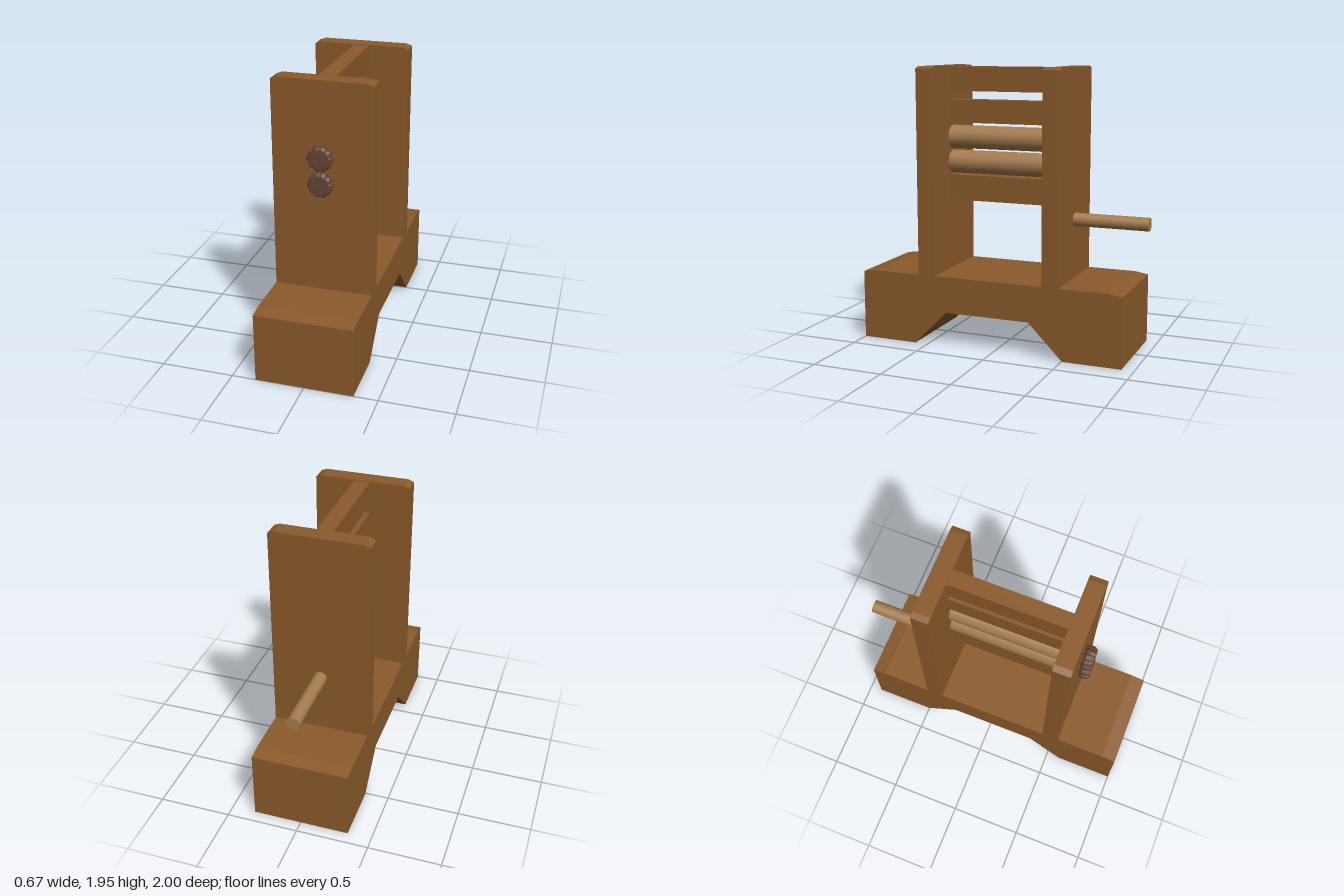
import * as THREE from 'three';
import { toCreasedNormals } from 'three/addons/utils/BufferGeometryUtils.js';

const frameWood = new THREE.MeshStandardMaterial({ color: 0x8b5a2b });
frameWood.name = 'frame wood';
const paleWood = new THREE.MeshStandardMaterial({ color: 0xa67c50 });
paleWood.name = 'pale roller wood';
const darkWood = new THREE.MeshStandardMaterial({ color: 0x654536 });
darkWood.name = 'dark knob wood';

const HALF = 0.335; // half width of base and posts
const FRONT = 0.44, BACK = -0.355, THICK = 0.12; // inner faces and thickness of posts

function extrude(points, depth) {
  const shape = new THREE.Shape(points.map(([x, y]) => new THREE.Vector2(x, y)));
  return new THREE.ExtrudeGeometry(shape, { depth, bevelEnabled: false });
}

// Cylinder along z between two depths
function rod(radius, z0, z1) {
  return new THREE.CylinderGeometry(radius, radius, z1 - z0, 32)
    .rotateX(Math.PI / 2).translate(0, 0, (z0 + z1) / 2);
}

// Turned knob with ten rounded lobes, its back on z = 0
function knobGeometry() {
  const profile = [[0, 0], [0.07, 0], [0.084, 0.02], [0.084, 0.052], [0.07, 0.073], [0, 0.076]];
  const geo = new THREE.LatheGeometry(profile.map(([r, h]) => new THREE.Vector2(r, h)), 60);
  const p = geo.attributes.position;
  for (let i = 0; i < p.count; i++) {
    const a = Math.atan2(p.getZ(i), p.getX(i));
    const s = 0.9 + 0.1 * Math.sqrt(Math.abs(Math.cos(5 * a)));
    p.setX(i, p.getX(i) * s);
    p.setZ(i, p.getZ(i) * s);
  }
  return toCreasedNormals(geo.rotateX(Math.PI / 2), 0.5);
}

export function createModel() {
  const model = new THREE.Group();
  model.name = 'rollerMill';
  const add = (name, geo, material, y = 0, z = 0) => {
    const mesh = new THREE.Mesh(geo, material);
    mesh.name = name;
    mesh.position.set(0, y, z);
    model.add(mesh);
    return mesh;
  };

  // Base: side profile (z, y) swept across the width
  const base = extrude([
    [1, 0], [1, 0.485], [0.9, 0.5], [-0.82, 0.5], [-0.915, 0.485],
    [-0.915, 0], [-0.505, 0], [-0.26, 0.245], [0.35, 0.245], [0.595, 0],
  ], 2 * HALF);
  base.translate(0, 0, -HALF).rotateY(-Math.PI / 2);
  add('base', base, frameWood);

  // Upright boards with clipped top corners
  const post = extrude([
    [-HALF, 0.5], [HALF, 0.5], [HALF, 1.93], [0.295, 1.945], [-0.295, 1.945], [-HALF, 1.93],
  ], THICK);
  add('frontPost', post, frameWood, 0, FRONT);
  add('backPost', post, frameWood, 0, BACK - THICK);

  // Rails between the posts
  for (const [name, y0, y1] of [['topRail', 1.77, 1.94], ['upperRail', 1.55, 1.71], ['lowerRail', 1.0, 1.18]]) {
    const rail = new THREE.BoxGeometry(0.11, y1 - y0, FRONT - BACK);
    add(name, rail, frameWood, (y0 + y1) / 2, (FRONT + BACK) / 2);
  }

  // Rollers and their knobs
  const roller = rod(0.082, BACK, FRONT);
  const knob = knobGeometry();
  for (const [prefix, y] of [['upper', 1.446], ['lower', 1.27]]) {
    add(prefix + 'Roller', roller, paleWood, y);
    add(prefix + 'Knob', knob, darkWood, y, FRONT + THICK);
  }

  // Handle at the back
  add('handle', rod(0.046, -1, BACK - THICK), paleWood, 0.91);
  return model;
}
